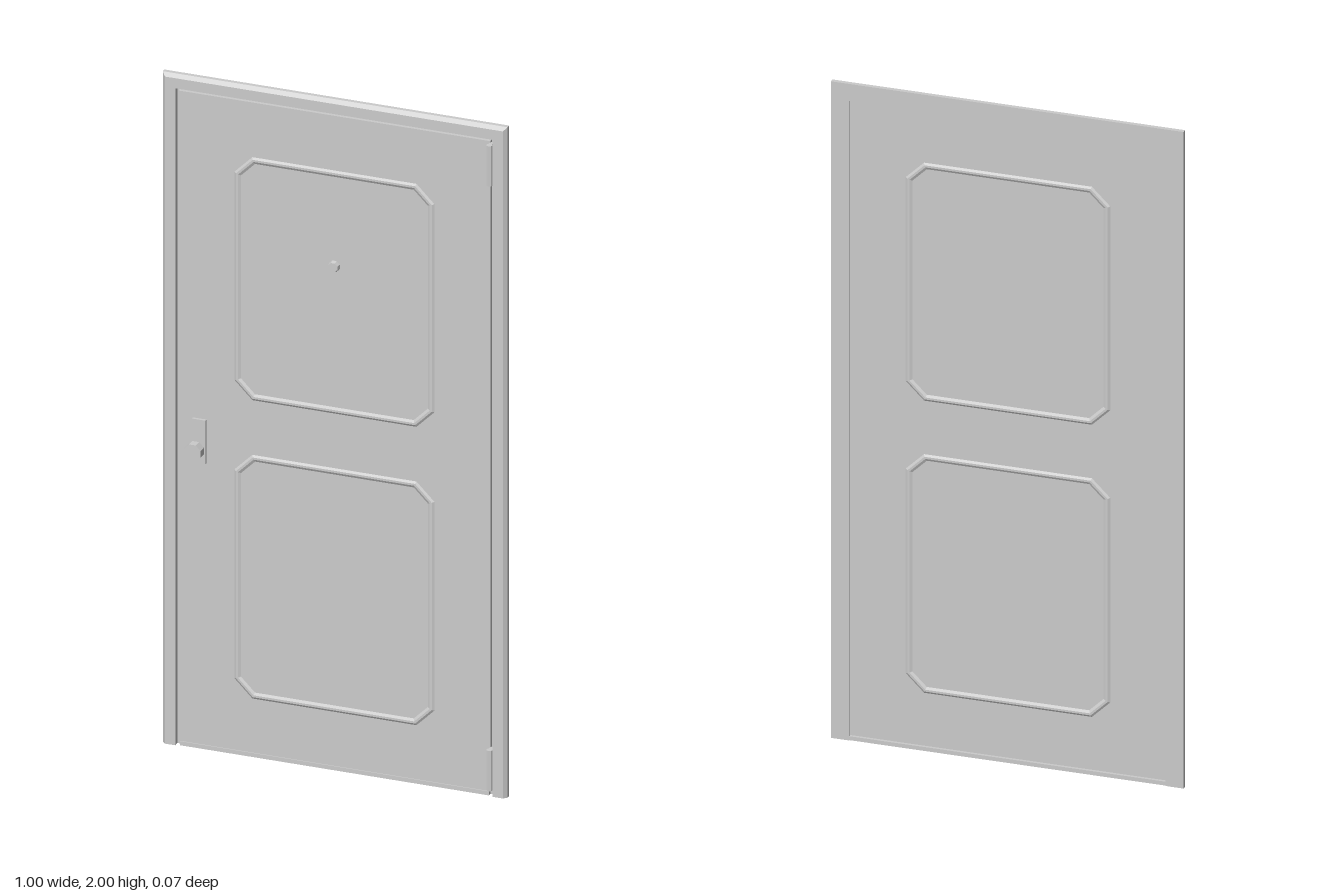
import * as THREE from 'three';

const grey = new THREE.MeshStandardMaterial({ color: 0xcccccc, flatShading: true, side: THREE.DoubleSide });

function add(parent, name, geometry, x = 0, y = 0, z = 0) {
  const mesh = new THREE.Mesh(geometry, grey);
  mesh.name = name;
  mesh.position.set(x, y, z);
  parent.add(mesh);
  return mesh;
}

function box(parent, name, x0, x1, y0, y1, z0, z1) {
  return add(parent, name, new THREE.BoxGeometry(x1 - x0, y1 - y0, z1 - z0),
    (x0 + x1) / 2, (y0 + y1) / 2, (z0 + z1) / 2);
}

// Skin a list of cross-sections; faces stay flat because corners are not shared
function skin(sections) {
  const out = [];
  for (let i = 0; i < sections.length - 1; i++) {
    for (let j = 0; j < sections[i].length - 1; j++) {
      const a = sections[i][j], b = sections[i][j + 1];
      const c = sections[i + 1][j], d = sections[i + 1][j + 1];
      out.push(...a, ...b, ...c, ...b, ...d, ...c);
    }
  }
  const g = new THREE.BufferGeometry();
  g.setAttribute('position', new THREE.Float32BufferAttribute(out, 3));
  g.computeVertexNormals();
  return g;
}

// Ridge moulding around a rectangle with clipped corners
function mouldingGeometry(w, h, cut) {
  const profile = [[0, 0], [0.006, 0.004], [0.012, 0.004], [0.019, 0]];
  const loops = profile.map(([d, z]) => {
    const x = w / 2 - d, y = h / 2 - d, c = cut - 0.586 * d;
    return [[-x, y - c, z], [-x + c, y, z], [x - c, y, z], [x, y - c, z],
      [x, -y + c, z], [x - c, -y, z], [-x + c, -y, z], [-x, -y + c, z]];
  });
  const sections = [];
  for (let i = 0; i <= 8; i++) sections.push(loops.map((loop) => loop[i % 8]));
  return skin(sections);
}

export function createModel() {
  const door = new THREE.Group();
  door.name = 'door';

  // Frame: mitred profile (inward offset, z) with chamfered outer edge and a stop behind the leaf
  const profile = [[0, -0.037], [0, -0.025], [0.01, -0.015], [0.04, -0.015],
    [0.04, -0.031], [0.052, -0.031], [0.052, -0.037], [0, -0.037]];
  const section = (side, top) => profile.map(([d, z]) => [side * (0.5 - d), top ? 2 - d : 0, z]);
  const frame = new THREE.Group();
  frame.name = 'frame';
  door.add(frame);
  add(frame, 'frameMoulding', skin([section(-1, false), section(-1, true), section(1, true), section(1, false)]));
  for (const side of [-1, 1]) {
    const foot = new THREE.Shape(profile.map(([d, z]) => new THREE.Vector2(side * (0.5 - d), z)));
    add(frame, 'jambFoot', new THREE.ShapeGeometry(foot).rotateX(Math.PI / 2));
  }
  box(frame, 'sill', -0.448, 0.448, 0, 0.012, -0.035, -0.02);

  // Leaf with two moulded panels on each face
  const front = -0.019, back = -0.031;
  box(door, 'leaf', -0.452, 0.452, 0.014, 1.953, back, front);
  for (const [y0, y1] of [[1.065, 1.79], [0.175, 0.902]]) {
    const g = mouldingGeometry(0.58, y1 - y0, 0.052);
    add(door, 'frontPanelMoulding', g, 0, (y0 + y1) / 2, front);
    add(door, 'backPanelMoulding', g, 0, (y0 + y1) / 2, back).rotation.y = Math.PI;
  }

  // Hinge barrels
  for (const y of [0.084, 1.888]) {
    add(door, 'hinge', new THREE.CylinderGeometry(0.009, 0.009, 0.12, 8), 0.455, y, -0.005);
    box(door, 'hingeLeaf', 0.45, 0.46, y - 0.06, y + 0.06, -0.025, -0.006);
  }

  // Round parts that point forward, between two depths
  const turned = (parent, name, r0, r1, sides, x, y, z0, z1) => add(parent, name,
    new THREE.CylinderGeometry(r1, r0, z1 - z0, sides).rotateY(Math.PI / sides).rotateX(Math.PI / 2),
    x, y, (z0 + z1) / 2);

  // Handle: plate, stem and eight-sided knob
  const handle = new THREE.Group();
  handle.name = 'handle';
  door.add(handle);
  box(handle, 'handlePlate', -0.411, -0.371, 0.855, 0.985, front, -0.011);
  turned(handle, 'knobStem', 0.011, 0.011, 8, -0.391, 0.905, -0.011, 0.012);
  turned(handle, 'knob', 0.026, 0.026, 8, -0.391, 0.905, 0.011, 0.035);

  // Peephole
  turned(door, 'peephole', 0.017, 0.014, 8, 0, 1.505, front, -0.007);

  return door;
}
